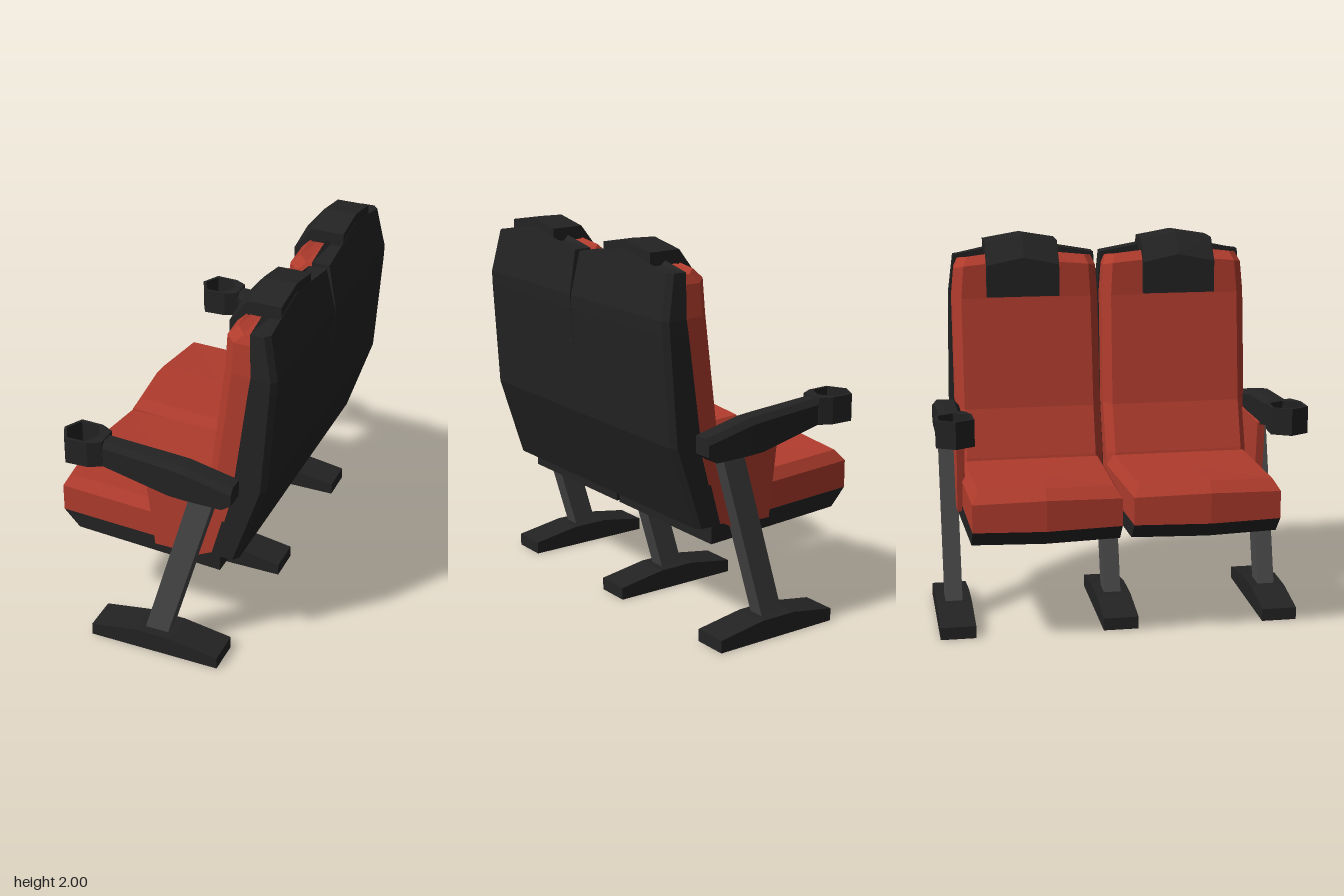
import * as THREE from 'three';

const red = new THREE.MeshStandardMaterial({ color: 0xb03c2d });
red.name = 'red upholstery';
const black = new THREE.MeshStandardMaterial({ color: 0x232323 });
black.name = 'black plastic';
const grey = new THREE.MeshStandardMaterial({ color: 0x474747 });
grey.name = 'grey metal';

// Faceted solid through rings of [x, y, z] points, capped at both ends and always facing outwards
function loft(rings) {
  const tris = [];
  const n = rings[0].length;
  for (let r = 0; r < rings.length - 1; r++) {
    for (let i = 0; i < n; i++) {
      const j = (i + 1) % n;
      const a = rings[r][i], b = rings[r][j], c = rings[r + 1][j], d = rings[r + 1][i];
      tris.push([a, b, c], [a, c, d]);
    }
  }
  const cap = (ring, flip) => {
    const mid = [0, 1, 2].map(k => ring.reduce((sum, p) => sum + p[k], 0) / n);
    ring.forEach((p, i) => {
      const q = ring[(i + 1) % n];
      tris.push(flip ? [mid, q, p] : [mid, p, q]);
    });
  };
  cap(rings[0], true);
  cap(rings[rings.length - 1], false);
  const v = p => new THREE.Vector3(...p);
  const volume = tris.reduce((sum, [a, b, c]) => sum + v(a).dot(v(b).cross(v(c))), 0);
  if (volume < 0) tris.forEach(t => t.reverse());
  const geometry = new THREE.BufferGeometry();
  geometry.setAttribute('position', new THREE.Float32BufferAttribute(tris.flat(2), 3));
  geometry.computeVertexNormals();
  return geometry;
}

// Side profile in x, y pulled from z0 to z1
function prism(profile, z0, z1) {
  const shape = new THREE.Shape(profile.map(p => new THREE.Vector2(...p)));
  return new THREE.ExtrudeGeometry(shape, { depth: z1 - z0, bevelEnabled: false }).translate(0, 0, z0);
}

function add(group, name, geometry, material) {
  const mesh = new THREE.Mesh(geometry, material);
  mesh.name = name;
  group.add(mesh);
}

const MID = 0.42;   // z of a seat's centre
const ARM = 0.857;  // z of an armrest's centre

function makeSeat(side) {
  const seat = new THREE.Group();
  seat.name = side > 0 ? 'leftSideSeat' : 'rightSideSeat';
  const solid = rings => loft(rings.map(ring => ring.map(([x, y, z]) => [x, y, z * side])));

  // Seat cushion with bevelled top and pointed front
  const pad = (dx, dz, yFront, yBack, peak) => [
    [-0.565 + dx, yFront, 0.03 + dz], [-0.6 + dx, yFront + peak, MID], [-0.565 + dx, yFront, 0.79 - dz],
    [0.3, yBack, 0.805 - dz], [0.3, yBack, 0.008 + dz]];
  add(seat, 'seatCushion', solid([
    pad(0, 0, 0.64, 0.61, 0), pad(0, 0, 0.785, 0.75, 0.015), pad(0.045, 0.035, 0.842, 0.81, 0.012)]), red);

  // Pan under the cushion
  const pan = (dx, yFront, yBack) => [
    [-0.565 + dx, yFront, 0.03], [-0.6 + dx, yFront, MID], [-0.565 + dx, yFront, 0.79],
    [0.32, yBack, 0.81], [0.32, yBack, 0.012]];
  add(seat, 'seatPan', solid([pan(0.085, 0.55, 0.52), pan(0, 0.64, 0.61)]), black);

  // Backrest cushion with chamfered front edges: y, front x, rear x, inner z, outer z, crown height
  add(seat, 'backCushion', solid([
    [0.64, 0.12, 0.32, 0.012, 0.8, 0],
    [0.83, 0.16, 0.37, 0.01, 0.8, 0],
    [1.08, 0.25, 0.44, 0.008, 0.8, 0],
    [1.67, 0.325, 0.5, 0.012, 0.8, 0],
    [1.83, 0.33, 0.5, 0.022, 0.785, 0.045],
    [1.875, 0.375, 0.5, 0.04, 0.765, 0.05],
  ].map(([y, f, r, a, b, h]) => [
    [r, y, a], [f + 0.05, y, a], [f, y + h * 0.3, a + 0.045], [f, y + h, MID],
    [f, y + h * 0.3, b - 0.045], [f + 0.05, y, b], [r, y, b], [r, y + h, MID]])), red);

  // Shell behind the backrest: y, front x, rear x, inner z, outer z, crown height
  add(seat, 'backShell', solid([
    [0.62, 0.28, 0.42, 0, 0.83, 0],
    [1.05, 0.395, 0.56, 0, 0.822, 0],
    [1.6, 0.465, 0.597, 0.001, 0.812, 0],
    [1.67, 0.475, 0.6, 0.005, 0.81, 0],
    [1.89, 0.462, 0.555, 0.02, 0.785, 0.07],
  ].map(([y, f, r, a, b, h]) => [
    [f, y, a], [f, y + h, MID], [f, y, b],
    [r - 0.025, y, b], [r, y, b - 0.03], [r, y + h, MID], [r, y, a]])), black);

  // Headrest cover folded over the top: outer x, y, inner x, y, crown height
  add(seat, 'headrest', solid([
    [0.29, 1.68, 0.335, 1.68, 0],
    [0.29, 1.85, 0.335, 1.83, 0.04],
    [0.38, 1.967, 0.39, 1.9, 0.033],
    [0.55, 1.967, 0.55, 1.9, 0.033],
  ].map(([ox, oy, ix, iy, h]) => [
    [ox, oy, 0.23], [ox, oy + h, MID], [ox, oy, 0.62],
    [ix, iy, 0.62], [ix, iy + h, MID], [ix, iy, 0.23]])), black);

  // Upholstered panel below the armrest
  const [p0, p1] = side > 0 ? [0.785, 0.826] : [-0.826, -0.785];
  add(seat, 'sidePanel', prism([[-0.08, 1.03], [-0.03, 0.595], [0.21, 0.595], [0.3, 0.64], [0.4, 1.03]], p0, p1), red);

  // Tapered armrest: x, bottom y, top y, half width
  add(seat, 'armrest', solid([
    [-0.285, 1.06, 1.19, 0.055],
    [0.09, 0.98, 1.163, 0.062],
    [0.17, 0.977, 1.155, 0.065],
    [0.375, 0.975, 1.11, 0.065],
    [0.425, 1.01, 1.1, 0.065],
  ].map(([x, b, t, w]) => [
    [x, b, ARM - w], [x, t - 0.03, ARM - w], [x, t, ARM - w + 0.025],
    [x, t, ARM + w - 0.025], [x, t - 0.03, ARM + w], [x, b, ARM + w]])), black);

  // Open cup holder at the armrest's front
  const outline = pts => pts.map(([x, y]) => new THREE.Vector2(x, y));
  const ring = new THREE.Shape(outline([[-0.5, 0], [-0.45, -0.097], [-0.33, -0.092], [-0.265, -0.058],
    [-0.265, 0.058], [-0.33, 0.092], [-0.45, 0.097]]));
  ring.holes.push(new THREE.Path(outline([[-0.484, 0], [-0.442, 0.08], [-0.345, 0.078],
    [-0.305, 0], [-0.345, -0.078], [-0.442, -0.08]])));
  const cup = new THREE.ExtrudeGeometry(ring, { depth: 0.14, bevelEnabled: false });
  add(seat, 'cupHolder', cup.rotateX(-Math.PI / 2).translate(0, 1.056, ARM * side), black);
  return seat;
}

export function createModel() {
  const model = new THREE.Group();
  model.name = 'doubleSeat';
  for (const side of [1, -1]) model.add(makeSeat(side));

  // Three slanted legs on feet
  for (const z of [-ARM, 0, ARM]) {
    const top = z === 0 ? 0.6 : 1.0;
    const lean = (top - 0.09) * 0.292;
    add(model, 'leg', prism([[-0.065, 0.09], [0.062, 0.09], [0.062 + lean, top], [-0.065 + lean, top]],
      z - 0.045, z + 0.045), grey);
    add(model, 'foot', prism([[-0.35, 0], [0.36, 0], [0.36, 0.066], [0.1, 0.107], [-0.1, 0.107], [-0.35, 0.066]],
      z - 0.093, z + 0.093), black);
  }
  return model;
}
